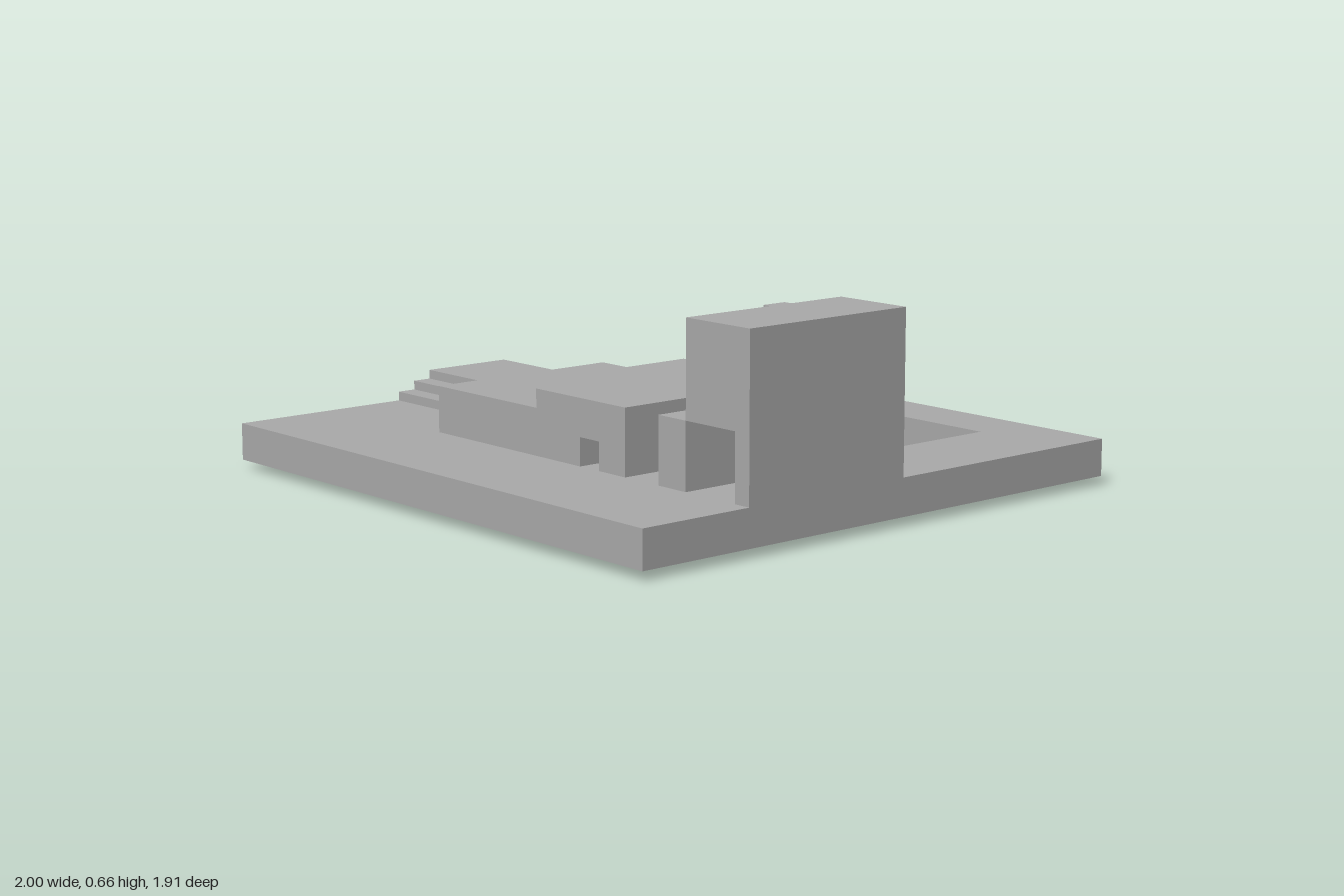
import * as THREE from 'three';

const GROUND = 0.15; // top of the base slab

export function createModel() {
  const model = new THREE.Group();
  model.name = 'architecturalSiteModel';

  const grey = new THREE.MeshStandardMaterial({ color: 0xaaaaaa });
  grey.name = 'grey';
  const greyThin = grey.clone();
  greyThin.side = THREE.DoubleSide;
  greyThin.name = 'greyThin';

  function add(name, geometry, material = grey) {
    const mesh = new THREE.Mesh(geometry, material);
    mesh.name = name;
    model.add(mesh);
    return mesh;
  }

  // Box given by its limits on each axis
  function box(name, x0, x1, y0, y1, z0, z1, material) {
    const geometry = new THREE.BoxGeometry(x1 - x0, y1 - y0, z1 - z0);
    geometry.translate((x0 + x1) / 2, (y0 + y1) / 2, (z0 + z1) / 2);
    return add(name, geometry, material);
  }

  const outline = (points) => points.map(([x, y]) => new THREE.Vector2(x, y));

  // Front profile (x, y) carried from z0 to z1
  function block(name, points, z0, z1) {
    const geometry = new THREE.ExtrudeGeometry(new THREE.Shape(outline(points)), {
      depth: z1 - z0, bevelEnabled: false,
    });
    geometry.translate(0, 0, z0);
    return add(name, geometry);
  }

  // Base slab with the pool opening cut through it
  const slab = new THREE.Shape(outline([[-1, -0.955], [1, -0.955], [1, 0.955], [-1, 0.955]]));
  slab.holes.push(new THREE.Path(outline([[-0.11, 0.3], [-0.11, 0.75], [0.67, 0.75], [0.67, 0.3]])));
  const slabGeometry = new THREE.ExtrudeGeometry(slab, { depth: 0.12, bevelEnabled: false });
  slabGeometry.rotateX(-Math.PI / 2);
  slabGeometry.translate(0, 0.03, 0);
  add('baseSlab', slabGeometry);

  // Pool basin: an open tray hanging just below the slab
  const basin = box('poolBasin', -0.11, 0.67, 0, 0.03, -0.75, -0.3, greyThin);
  const faces = Array.from(basin.geometry.index.array);
  faces.splice(12, 6); // leave the top open
  basin.geometry.setIndex(faces);
  basin.geometry.clearGroups();

  // Terrace with a ramp, and its front wing
  block('rampTerrace', [
    [-1, GROUND], [0.04, GROUND], [0.04, 0.3], [-0.46, 0.3], [-0.68, 0.24], [-1, 0.24],
  ], -0.12, 0.2);
  box('terraceWing', -0.46, 0.04, GROUND, 0.3, 0.2, 0.56);

  // Steps down from the low end of the terrace
  box('upperStep', -1, -0.7, GROUND, 0.21, 0.2, 0.265);
  box('lowerStep', -1, -0.7, GROUND, 0.18, 0.265, 0.33);

  // Middle house with a passage through it
  block('middleHouse', [
    [0.04, GROUND], [0.25, GROUND], [0.25, 0.24], [0.34, 0.24], [0.34, GROUND],
    [0.46, GROUND], [0.46, 0.36], [0.04, 0.36],
  ], -0.06, 0.56);

  // Low wing beside the tower, and the tower on its outer wall
  box('lowWing', 0.61, 0.73, GROUND, 0.36, -0.06, 0.56);
  block('tower', [
    [0.94, GROUND], [1, GROUND], [1, 0.66], [0.73, 0.66], [0.73, 0.36], [0.94, 0.36],
  ], -0.06, 0.56);
  box('towerPier', 0.7, 0.73, 0.36, 0.66, 0.145, 0.23);

  return model;
}
